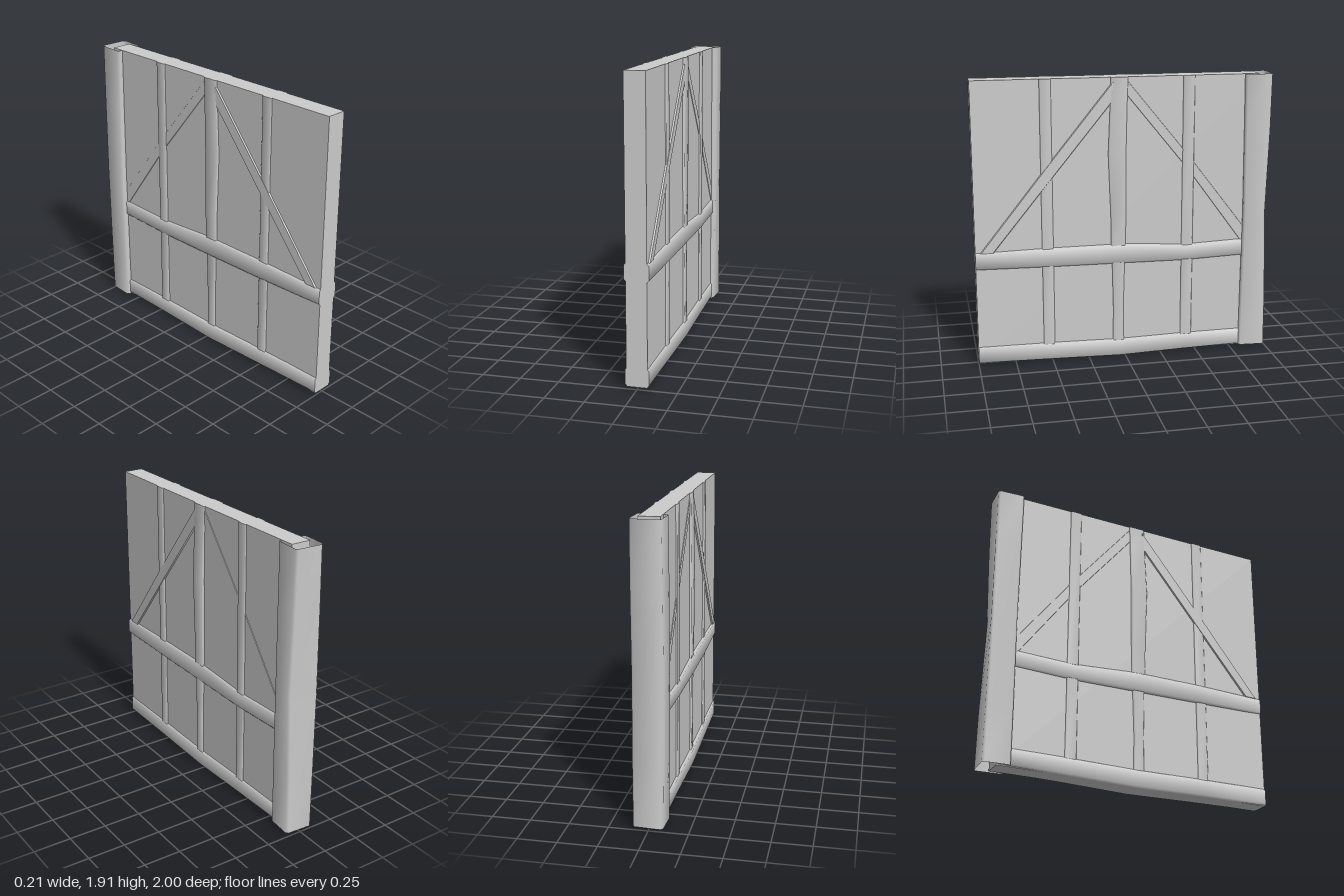
import * as THREE from 'three';
import { toCreasedNormals } from 'three/addons/utils/BufferGeometryUtils.js';

const plaster = new THREE.MeshStandardMaterial({ color: 0xcccccc, side: THREE.DoubleSide });
plaster.name = 'plainGrey';

// Lofts four-cornered rings with chamfered corners into a rough-hewn timber
function loft(rings, bevel, capped = true) {
  const pos = [];
  const loops = rings.map((corners) => {
    const loop = [];
    corners.forEach((c, i) => {
      for (const j of [(i + 3) % 4, (i + 1) % 4]) {
        const dir = corners[j].clone().sub(c).setLength(bevel);
        loop.push(c.clone().add(dir));
      }
    });
    return loop;
  });
  const tri = (...points) => points.forEach((p) => pos.push(p.x, p.y, p.z));
  for (let r = 0; r < loops.length - 1; r++) {
    const a = loops[r], b = loops[r + 1];
    for (let i = 0; i < 8; i++) {
      const j = (i + 1) % 8;
      tri(a[i], a[j], b[j]);
      tri(a[i], b[j], b[i]);
    }
  }
  if (capped) {
    const a = loops[0], b = loops[loops.length - 1];
    for (let i = 1; i < 7; i++) {
      tri(a[0], a[i + 1], a[i]);
      tri(b[0], b[i], b[i + 1]);
    }
  }
  const geo = new THREE.BufferGeometry();
  geo.setAttribute('position', new THREE.Float32BufferAttribute(pos, 3));
  return toCreasedNormals(geo, 0.9);
}

// One ring from two edge points given as [z, y] and an x range
const ring = (p, q, x0, x1) => [[x0, p], [x1, p], [x1, q], [x0, q]]
  .map(([x, e]) => new THREE.Vector3(x, e[1], e[0]));

export function createModel() {
  const group = new THREE.Group();
  const add = (name, geo) => {
    const mesh = new THREE.Mesh(geo, plaster);
    mesh.name = name;
    group.add(mesh);
    return mesh;
  };
  // rows: [z, bottom y, top y, x0, x1], running towards +z
  const beam = (name, rows) => add(name, loft(
    rows.map(([z, y0, y1, x0, x1]) => ring([z, y0], [z, y1], x0, x1)), 0.012));
  // rows: [y, front z, back z, half width], running upwards
  const upright = (name, rows) => add(name, loft(
    rows.map(([y, z0, z1, h]) => ring([z0, y], [z1, y], -h, h)), 0.006));

  // Wall panel
  add('wallPanel', new THREE.BoxGeometry(0.132, 1.9, 1.905)).position.set(0, 0.97, 0.0475);

  // Horizontal beams, slightly bent
  beam('sillBeam', [
    [-0.9, 0.025, 0.14, -0.075, 0.075],
    [-0.42, 0.017, 0.135, -0.08, 0.078],
    [0.03, 0.005, 0.126, -0.086, 0.08],
    [0.5, 0.015, 0.134, -0.082, 0.078],
    [1.0, 0.023, 0.14, -0.075, 0.075],
  ]);
  beam('middleBeam', [
    [-0.9, 0.678, 0.795, -0.076, 0.076],
    [-0.8, 0.677, 0.79, -0.076, 0.078],
    [-0.42, 0.664, 0.776, -0.078, 0.08],
    [0.03, 0.668, 0.803, -0.084, 0.08],
    [0.5, 0.672, 0.802, -0.084, 0.08],
    [1.0, 0.68, 0.792, -0.076, 0.08],
  ]);

  // Centre post, above and below the middle beam
  upright('upperCentrePost', [
    [0.78, 0.095, 0, 0.077],
    [1.0, 0.098, -0.004, 0.08],
    [1.42, 0.114, -0.004, 0.08],
    [1.75, 0.1, -0.012, 0.077],
    [1.92, 0.095, -0.018, 0.075],
  ]);
  upright('lowerCentrePost', [
    [0.02, 0.085, 0.008, 0.075],
    [0.35, 0.082, 0.014, 0.077],
    [0.69, 0.09, 0.004, 0.076],
  ]);

  // Thin studs
  for (const [z0, z1] of [[0.56, 0.485], [-0.388, -0.466]]) {
    upright('upperStud', [[0.77, z0, z1, 0.074], [1.92, z0, z1, 0.074]]);
    upright('lowerStud', [[0.12, z0, z1, 0.074], [0.69, z0, z1, 0.074]]);
  }

  // Diagonal braces
  add('frontBrace', loft([
    ring([0.968, 0.79], [0.88, 0.79], -0.076, 0.076),
    ring([0.53, 1.34], [0.53, 1.22], -0.076, 0.076),
    ring([0.08, 1.895], [0.08, 1.77], -0.076, 0.076),
  ], 0.006));
  add('backBrace', loft([
    ring([-0.82, 0.76], [-0.82, 0.885], -0.069, 0.069),
    ring([-0.43, 1.29], [-0.43, 1.39], -0.069, 0.069),
    ring([0, 1.815], [0, 1.915], -0.069, 0.069),
  ], 0.004));

  // Hollow corner post, a little twisted, open at both ends
  // rows: [y, front z, back z on the left, bulge]
  const postRows = [
    [0.02, -0.808, -0.99, 0], [0.4, -0.81, -0.985, 0.004], [0.98, -0.815, -0.965, 0.008],
    [1.55, -0.81, -0.985, 0.004], [1.92, -0.806, -0.99, 0],
  ];
  add('cornerPost', loft(postRows.map(([y, zf, zb, d]) => [
    new THREE.Vector3(-0.1 - d, y, zf - 0.015),
    new THREE.Vector3(0.088 + d, y, zf),
    new THREE.Vector3(0.1 + d * 0.4, y, zb),
    new THREE.Vector3(-0.09 - d, y, -1.001),
  ]), 0.014, false));

  return group;
}
